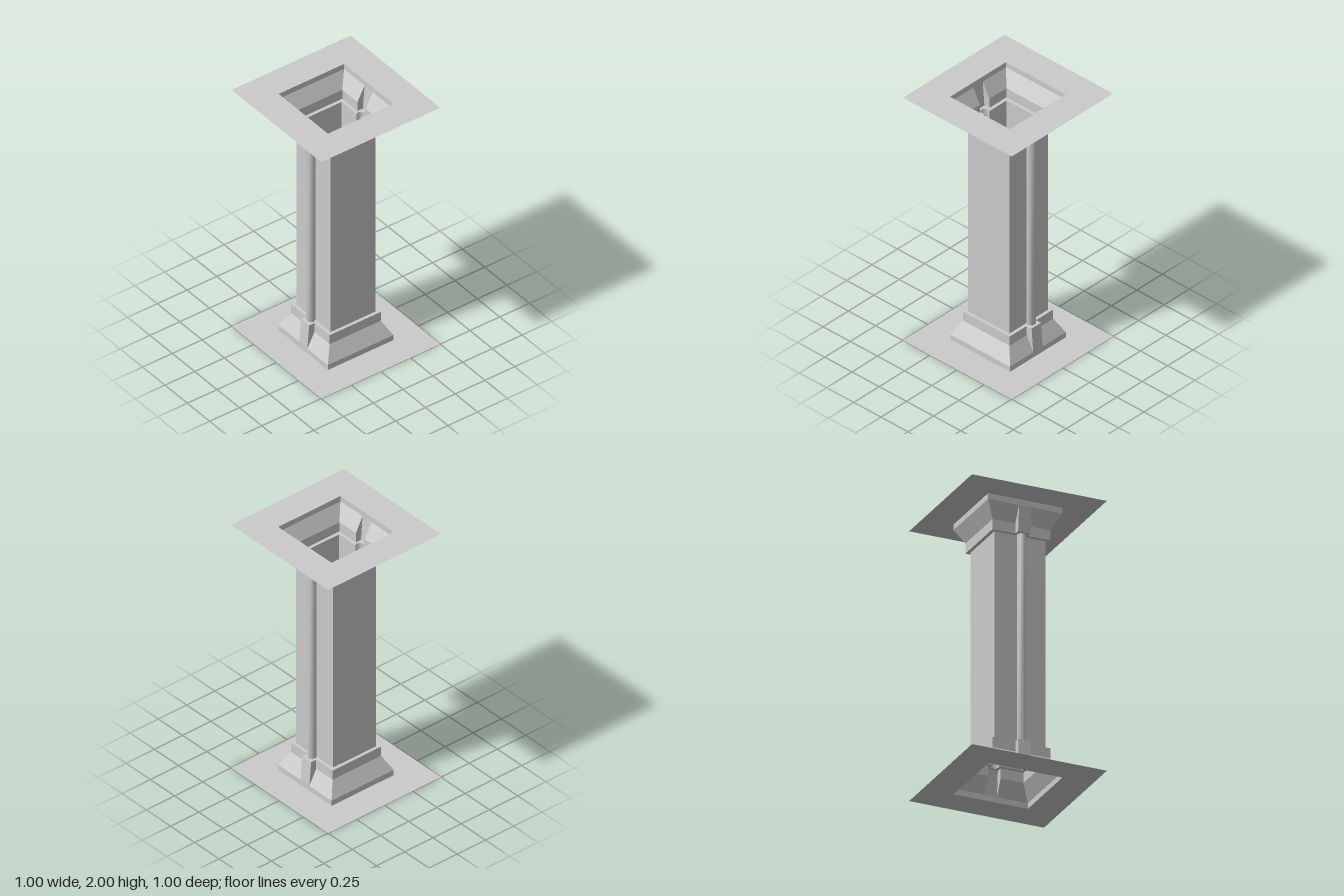
import * as THREE from 'three';

const grey = new THREE.MeshStandardMaterial({ color: 0xcccccc, side: THREE.DoubleSide });

// Skin plan outlines, given as { y, pts: [[x, s]] } with z = -s, from bottom to top.
function loft(rings, closed, smooth) {
  const n = rings[0].pts.length;
  const verts = rings.map(r => r.pts.map(([x, s]) => new THREE.Vector3(x, r.y, -s)));
  const index = [];
  const addTriangle = (...ids) => {
    const [a, b, c] = ids.map(i => verts[Math.floor(i / n)][i % n]);
    if (new THREE.Triangle(a, b, c).getArea() > 1e-8) index.push(...ids);
  };
  for (let r = 0; r < rings.length - 1; r++) {
    for (let i = 0; i < (closed ? n : n - 1); i++) {
      const a = r * n + i, b = r * n + (i + 1) % n;
      addTriangle(a, b, b + n);
      addTriangle(a, b + n, a + n);
    }
  }
  let geo = new THREE.BufferGeometry().setFromPoints(verts.flat());
  geo.setIndex(index);
  if (!smooth) geo = geo.toNonIndexed();
  geo.computeVertexNormals();
  return geo;
}

// Horizontal sheet with an opening, facing up or down.
function sheet(outline, opening, y, faceUp) {
  const toVectors = pts => pts.map(([x, s]) => new THREE.Vector2(x, s));
  const shape = new THREE.Shape(toVectors(outline));
  shape.holes.push(new THREE.Path(toVectors(opening)));
  const geo = new THREE.ShapeGeometry(shape);
  geo.rotateX(faceUp ? -Math.PI / 2 : Math.PI / 2);
  return geo.translate(0, y, 0);
}

const square = h => [[h, -h], [h, h], [-h, h], [-h, -h]];
const turned = pts => pts.map(([x, s]) => [-x, -s]);

// Square of half-width h with a rib reaching out to x = t on both sides.
function ribbedOutline(h, t) {
  const w = 0.046;
  const half = [[h, -h], [h, -w], [t, -w], [t, w], [h, w], [h, h]];
  return [...half, ...turned(half)];
}

export function createModel() {
  const group = new THREE.Group();
  const add = (name, geo) => {
    const mesh = new THREE.Mesh(geo, grey);
    mesh.name = name;
    group.add(mesh);
    return mesh;
  };

  // Shaft plan: a square with half-round pipes let into its left and right sides
  const pipe = [[0.19, -0.021], [0.2115, -0.033], [0.24, -0.0165],
    [0.24, 0.0165], [0.2115, 0.033], [0.19, 0.021]];
  const wall = [[0.19, 0.021], [0.19, 0.19], [-0.19, 0.19], [-0.19, 0.021]];
  const shaftOutline = [...pipe, [0.19, 0.19], [-0.19, 0.19],
    ...turned(pipe), [-0.19, -0.19], [0.19, -0.19]];
  const low = 0.23, high = 1.77;
  const upright = pts => [{ y: low, pts }, { y: high, pts }];

  add('backShaftWall', loft(upright(wall), false, false));
  add('frontShaftWall', loft(upright(turned(wall)), false, false));
  add('leftPipe', loft(upright(pipe), false, true));
  add('rightPipe', loft(upright(turned(pipe)), false, true));

  // Base and capital: plinth, slope and collar with a tapering rib
  const levels = [[0, 0.275, 0.275], [0.042, 0.275, 0.275], [0.155, 0.215, 0.266], [low, 0.215, 0.26]];
  const baseRings = levels.map(([y, h, t]) => ({ y, pts: ribbedOutline(h, t) }));
  const capitalRings = baseRings.map(r => ({ y: 2 - r.y, pts: r.pts })).reverse();
  add('base', loft(baseRings, true, false));
  add('capital', loft(capitalRings, true, false));

  // Ledges around the shaft ends
  const collar = ribbedOutline(0.215, 0.26);
  add('baseLedge', sheet(collar, shaftOutline, low, true));
  // Sheets that face down are mirrored front to back, which the symmetric plan allows
  add('capitalLedge', sheet(collar, shaftOutline, high, false));

  // Floor and ceiling panels
  add('floorPanel', sheet(square(0.5), square(0.275), 0, true));
  add('ceilingPanel', sheet(square(0.5), square(0.275), 2, false));

  return group;
}
